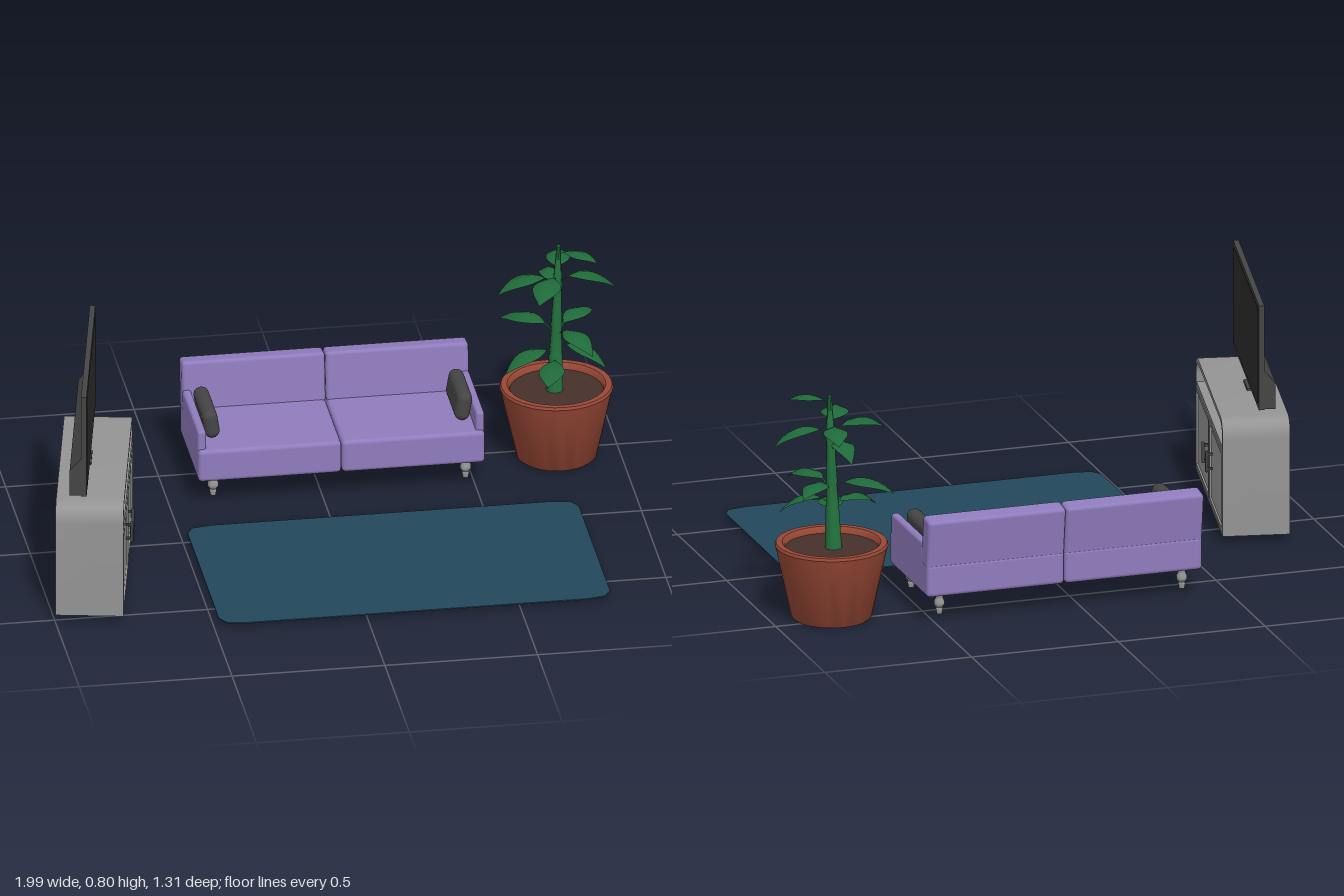
import * as THREE from 'three';
import { toCreasedNormals } from 'three/addons/utils/BufferGeometryUtils.js';
import { RoundedBoxGeometry } from 'three/addons/geometries/RoundedBoxGeometry.js';

const material = (name, color, side = THREE.FrontSide) => {
  const m = new THREE.MeshStandardMaterial({ color, side });
  m.name = name;
  return m;
};

const MAT = {
  purple: material('purple fabric', 0x8f7cbd),
  charcoal: material('charcoal', 0x454545),
  black: material('screen black', 0x2b2b2b),
  grey: material('grey', 0x949494),
  rug: material('deep blue', 0x22475b),
  clay: material('terracotta', 0x984836),
  soil: material('soil brown', 0x46302a),
  stem: material('stem green', 0x24743f),
  leaf: material('leaf green', 0x1f6a3a, THREE.DoubleSide),
};

function add(parent, name, geometry, mat, x = 0, y = 0, z = 0) {
  const mesh = new THREE.Mesh(geometry, mat);
  mesh.name = name;
  mesh.position.set(x, y, z);
  parent.add(mesh);
  return mesh;
}

function group(parent, name, x = 0, y = 0, z = 0) {
  const g = new THREE.Group();
  g.name = name;
  g.position.set(x, y, z);
  parent.add(g);
  return g;
}

const box = (w, h, d) => new THREE.BoxGeometry(w, h, d);
const rounded = (w, h, d, r, seg = 2) => new RoundedBoxGeometry(w, h, d, seg, r);
const lathe = (pts, sides) => toCreasedNormals(
  new THREE.LatheGeometry(pts.map(([r, y]) => new THREE.Vector2(r, y)), sides), 0.7);
const extrude = (shape, depth, curveSegments = 8) => toCreasedNormals(
  new THREE.ExtrudeGeometry(shape, { depth, curveSegments, bevelEnabled: false }), 0.6);

// Rectangle with separate corner sizes at the bottom and top
function panel(T, x0, y0, x1, y1, rTop, rBottom = 0, ratio = 1) {
  const s = new T(), a = rTop, b = rBottom, ay = a * ratio, by = b * ratio;
  s.moveTo(x0 + b, y0);
  s.lineTo(x1 - b, y0);
  if (b) s.quadraticCurveTo(x1, y0, x1, y0 + by);
  s.lineTo(x1, y1 - ay);
  if (a) s.quadraticCurveTo(x1, y1, x1 - a, y1);
  s.lineTo(x0 + a, y1);
  if (a) s.quadraticCurveTo(x0, y1, x0, y1 - ay);
  s.lineTo(x0, y0 + by);
  if (b) s.quadraticCurveTo(x0, y0, x0 + b, y0);
  return s;
}

function addRug(root) {
  const geo = extrude(panel(THREE.Shape, -0.64, -0.365, 0.64, 0.365, 0.085, 0.085, 0.55), 0.004, 2);
  geo.rotateX(-Math.PI / 2);
  add(root, 'rug', geo, MAT.rug, 0.16, 0.016, 0.287);
}

function addSofa(root) {
  const sofa = group(root, 'sofa', 0.06, 0, 0);
  const legGeo = lathe([[0, 0.02], [0.009, 0.02], [0.012, 0.036], [0.01, 0.042],
    [0.018, 0.052], [0.018, 0.062], [0.012, 0.074], [0.017, 0.095]], 12);
  for (const s of [-1, 1]) {
    add(sofa, 'seat', rounded(0.468, 0.112, 0.388, 0.014), MAT.purple, s * 0.235, 0.146, -0.443);
    const back = add(sofa, 'backrest', rounded(0.468, 0.17, 0.068, 0.012), MAT.purple, s * 0.235, 0.272, -0.611);
    back.rotation.x = -0.13;
    add(sofa, 'armrest', rounded(0.028, 0.1, 0.32, 0.01), MAT.purple, s * 0.455, 0.216, -0.425);
    const pillow = add(sofa, 'pillow', rounded(0.05, 0.098, 0.215, 0.024, 4), MAT.charcoal, s * 0.413, 0.252, -0.435);
    pillow.rotation.z = -s * 0.16;
    for (const z of [-0.303, -0.59]) add(sofa, 'sofaLeg', legGeo, MAT.grey, s * 0.413, 0, z);
  }
}

function addCabinet(unit) {
  const cabinet = group(unit, 'cabinet');
  // Arched shell, open at the front
  const shell = panel(THREE.Shape, -0.358, 0.025, 0.358, 0.415, 0.065);
  shell.holes.push(panel(THREE.Path, -0.344, 0.037, 0.344, 0.4, 0.055));
  add(cabinet, 'shell', extrude(shell, 0.22), MAT.grey, 0, 0, -0.11);
  add(cabinet, 'backPanel', extrude(panel(THREE.Shape, -0.35, 0.03, 0.35, 0.407, 0.06), 0.01), MAT.grey, 0, 0, -0.1095);
  add(cabinet, 'shelf', box(0.69, 0.014, 0.205), MAT.grey, 0, 0.316, 0.006);
  add(cabinet, 'divider', box(0.02, 0.28, 0.2), MAT.grey, 0, 0.172, 0);
  for (const s of [-1, 1]) {
    const x = s * 0.175;
    // Door with a raised rim around a flat panel
    const rim = panel(THREE.Shape, -0.17, 0.036, 0.17, 0.307, 0);
    rim.holes.push(panel(THREE.Path, -0.158, 0.048, 0.158, 0.295, 0));
    add(cabinet, 'doorRim', extrude(rim, 0.014), MAT.grey, x, 0, 0.097);
    add(cabinet, 'doorPanel', box(0.325, 0.256, 0.01), MAT.grey, x, 0.1715, 0.1);
    add(cabinet, 'handle', rounded(0.013, 0.072, 0.01, 0.004), MAT.charcoal, s * 0.048, 0.18, 0.124);
    for (const y of [0.155, 0.205]) add(cabinet, 'handlePost', box(0.008, 0.008, 0.02), MAT.charcoal, s * 0.048, y, 0.112);
  }
}

function addTelevision(unit) {
  const tv = group(unit, 'television');
  add(tv, 'frame', box(0.685, 0.355, 0.018), MAT.charcoal, 0, 0.6225, -0.019);
  const screen = extrude(panel(THREE.Shape, -0.326, 0.459, 0.326, 0.786, 0.025, 0.025), 0.002);
  add(tv, 'screen', screen, MAT.black, 0, 0, -0.0105);
  // Deeper lower housing with a sloping top
  const side = new THREE.Shape([[0.026, 0.447], [0.065, 0.447], [0.065, 0.535], [0.026, 0.58]]
    .map(([x, y]) => new THREE.Vector2(x, y)));
  const housing = extrude(side, 0.68);
  housing.rotateY(Math.PI / 2);
  add(tv, 'rearHousing', housing, MAT.charcoal, -0.34, 0, 0);
  add(tv, 'neck', box(0.022, 0.04, 0.02), MAT.charcoal, 0, 0.435, -0.035);
  add(tv, 'standBase', box(0.095, 0.008, 0.055), MAT.charcoal, 0, 0.419, -0.035);
}

// Leaf along +x: thin stalk, arched midrib and drooping edges
function leafGeometry(length, arch, drop, halfWidth) {
  const geo = new THREE.PlaneGeometry(1, 2, 10, 2);
  const p = geo.attributes.position;
  for (let i = 0; i < p.count; i++) {
    const t = p.getX(i) + 0.5, v = p.getY(i);
    const s = Math.max(0, (t - 0.2) / 0.8);
    const w = Math.max(t < 0.95 ? 0.003 : 0, halfWidth * Math.sin(Math.PI * Math.pow(s, 0.85)));
    const y = 4 * arch * t * (1 - t) + drop * t;
    p.setXYZ(i, length * t, y - Math.abs(v) * w * 0.4, v * w);
  }
  geo.computeVertexNormals();
  return geo;
}

function addPlant(root) {
  const plant = group(root, 'pottedPlant', 0.795, 0, -0.456);
  add(plant, 'pot', lathe([[0, 0.002], [0.125, 0.002], [0.131, 0.008], [0.18, 0.235], [0.184, 0.247],
    [0.18, 0.256], [0.16, 0.256], [0.153, 0.248], [0.15, 0.225]], 32), MAT.clay);
  const soil = new THREE.CircleGeometry(0.153, 32);
  soil.rotateX(-Math.PI / 2);
  add(plant, 'soil', soil, MAT.soil, 0, 0.235, 0);
  const trunk = add(plant, 'trunk', lathe([[0.028, 0.23], [0.022, 0.36], [0.017, 0.45], [0.019, 0.46],
    [0.013, 0.59], [0.016, 0.61], [0.009, 0.71], [0.007, 0.75], [0, 0.755]], 10), MAT.stem, -0.012, 0, 0);
  trunk.rotation.z = -0.025;

  // Each leaf: tip offset in x and z, base height, arch, tip drop
  const leaves = [
    [0.12, 0.09, 0.715, 0.03, 0.005],
    [-0.2, 0.04, 0.61, 0.055, -0.005],
    [0.195, 0.01, 0.61, 0.055, -0.02],
    [-0.09, 0.21, 0.63, 0.04, 0.01],
    [0.04, -0.195, 0.63, 0.04, 0.01],
    [-0.17, -0.13, 0.43, 0.05, 0.01],
    [0.14, -0.13, 0.43, 0.045, 0.02],
    [0.09, 0.18, 0.43, 0.05, 0],
    [-0.01, -0.18, 0.56, 0.06, 0.01],
    [-0.18, 0.08, 0.36, 0.05, -0.02],
    [0.15, 0.09, 0.38, 0.05, -0.04],
    [-0.06, 0.2, 0.34, 0.03, 0],
  ];
  for (const [dx, dz, y, arch, drop] of leaves) {
    const length = Math.hypot(dx, dz);
    const leaf = add(plant, 'leaf', leafGeometry(length, arch, drop, length * 0.2), MAT.leaf, 0, y, 0);
    leaf.rotation.y = Math.atan2(-dz, dx);
  }
}

export function createModel() {
  const root = new THREE.Group();
  root.name = 'livingRoomSet';
  addRug(root);
  addSofa(root);
  const mediaUnit = group(root, 'mediaUnit', -0.82, 0, 0.182);
  mediaUnit.rotation.y = 1.37;
  addCabinet(mediaUnit);
  addTelevision(mediaUnit);
  addPlant(root);
  return root;
}
